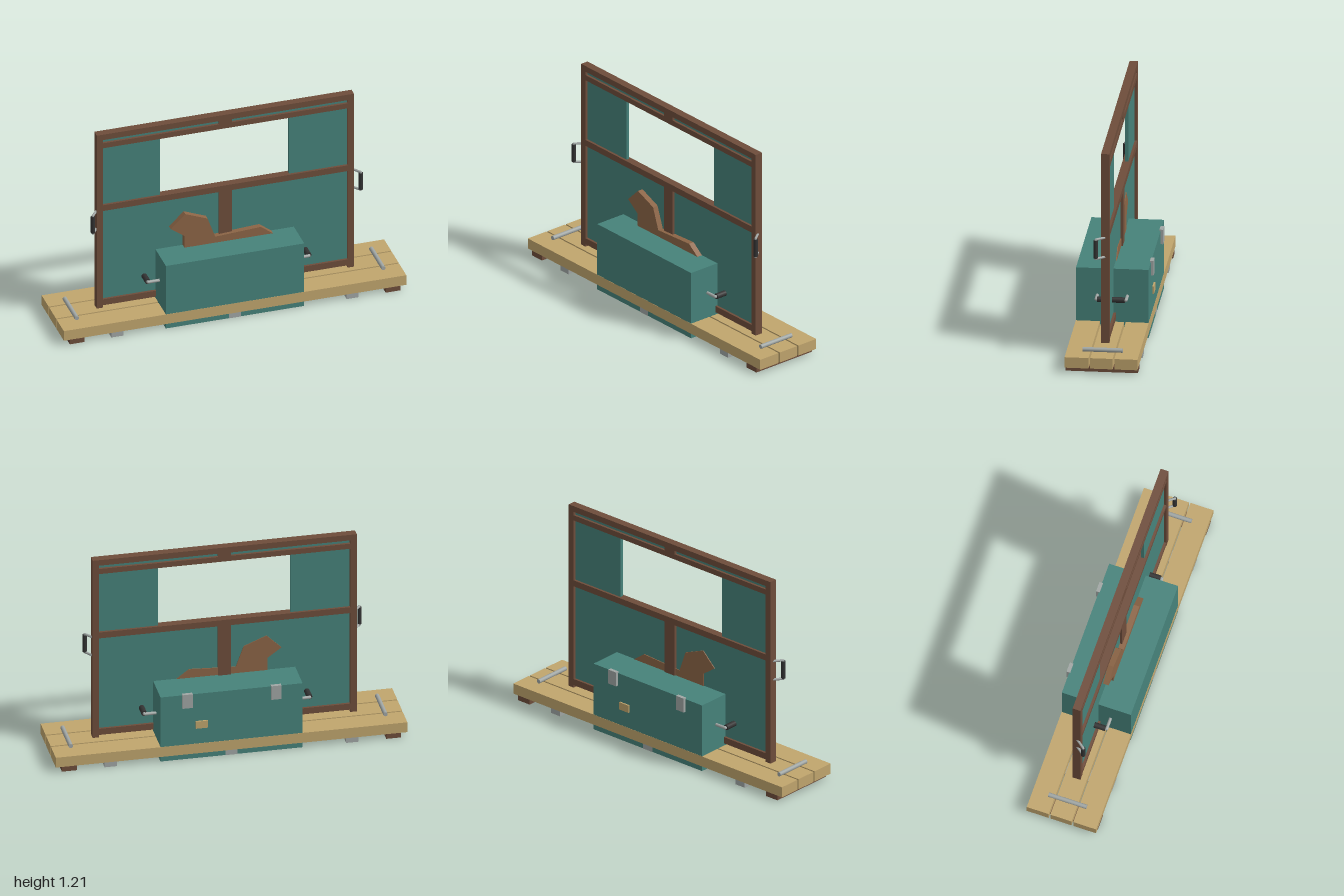
import * as THREE from 'three';

const mat = (color) => new THREE.MeshStandardMaterial({ color });

export function createModel() {
  const root = new THREE.Group();
  const teal = mat(0x46827a), pine = mat(0xc0a56d), brown = mat(0x6e4d3b);
  const cutout = mat(0x8c6546), steel = mat(0xa0a6a4), rubber = mat(0x333333);

  // Box given by its extents
  const box = (name, m, x0, x1, y0, y1, z0, z1, parent = root) => {
    const mesh = new THREE.Mesh(new THREE.BoxGeometry(x1 - x0, y1 - y0, z1 - z0), m);
    mesh.position.set((x0 + x1) / 2, (y0 + y1) / 2, (z0 + z1) / 2);
    mesh.name = name;
    parent.add(mesh);
    return mesh;
  };
  // Round bar between two points
  const rod = (name, m, a, b, r, parent = root) => {
    const p = new THREE.Vector3(...a), q = new THREE.Vector3(...b);
    const mesh = new THREE.Mesh(new THREE.CylinderGeometry(r, r, p.distanceTo(q), 16), m);
    mesh.position.copy(p).add(q).multiplyScalar(0.5);
    mesh.quaternion.setFromUnitVectors(new THREE.Vector3(0, 1, 0), q.sub(p).normalize());
    mesh.name = name;
    parent.add(mesh);
    return mesh;
  };
  // U-shaped handle: two arms and a thicker grip
  const handle = (name, rootA, gripA, gripB, rootB, r, gripR) => {
    const g = new THREE.Group();
    g.name = name;
    rod('handleArm', steel, rootA, gripA, r, g);
    rod('handleArm', steel, rootB, gripB, r, g);
    rod('handleBar', steel, gripA, gripB, r, g);
    const a = new THREE.Vector3(...gripA), b = new THREE.Vector3(...gripB);
    rod('handleGrip', rubber, a.clone().lerp(b, 0.04).toArray(), b.clone().lerp(a, 0.04).toArray(), gripR, g);
    for (const end of [gripA, gripB]) {
      const corner = new THREE.Mesh(new THREE.SphereGeometry(r, 12, 8), steel);
      corner.position.set(...end);
      corner.name = 'handleCorner';
      g.add(corner);
    }
    root.add(g);
  };

  // Deck of three planks
  for (const [z0, z1] of [[-0.197, -0.068], [-0.058, 0.067], [0.077, 0.211]])
    box('deckPlank', pine, -1, 1, 0.03, 0.092, z0, z1);

  // Chest set through the deck
  box('chest', teal, -0.404, 0.404, 0.001, 0.406, -0.196, 0.21);

  // Steel brace under the chest
  box('chestBrace', steel, -0.035, 0.035, 0, 0.03, -0.1965, 0.2105);
  for (const z of [-0.16, 0.175])
    box('chestBraceFlange', steel, -0.22, 0.22, 0, 0.02, z - 0.02, z + 0.02);

  // Frame rails
  const F0 = -0.013, F1 = 0.033;
  for (const [y0, y1] of [[0.107, 0.145], [0.718, 0.755], [1.125, 1.157], [1.178, 1.213]])
    box('frameRail', brown, -0.72, 0.72, y0, y1, F0, F1);
  box('centrePost', brown, -0.037, 0.037, 0.14, 0.72, F0, F1);
  box('topSpacer', brown, -0.037, 0.037, 1.15, 1.185, F0, F1);

  // Panels recessed in the frame
  const P0 = 0.001, P1 = 0.019;
  box('lowerPanel', teal, -0.72, 0.72, 0.14, 0.725, P0, P1);
  box('topStrip', teal, -0.72, 0.72, 1.15, 1.185, P0, P1);

  for (const s of [-1, 1]) {
    const span = (a, b) => (s > 0 ? [a, b] : [-b, -a]);
    box('framePost', brown, ...span(0.714, 0.751), 0, 1.213, F0, F1);
    box('windowSidePanel', teal, ...span(0.377, 0.72), 0.75, 1.13, P0, P1);

    // Crossbars under the deck
    box('endFoot', brown, ...span(0.88, 0.965), 0, 0.03, -0.196, 0.21);
    box('steelCrossbar', steel, ...span(0.652, 0.722), 0, 0.03, -0.196, 0.21);

    // Grab rail lying on the deck
    rod('deckRail', steel, [s * 0.895, 0.105, -0.104], [s * 0.895, 0.105, 0.12], 0.0125);

    // Angled handle on the frame post
    handle('frameHandle', [s * 0.745, 0.715, 0.012], [s * 0.782, 0.715, 0.06],
      [s * 0.782, 0.601, 0.06], [s * 0.745, 0.601, 0.012], 0.007, 0.0125);

    // Carrying handle on the end of the chest
    handle('chestHandle', [s * 0.4, 0.246, -0.077], [s * 0.47, 0.246, -0.077],
      [s * 0.47, 0.246, 0.091], [s * 0.4, 0.246, 0.091], 0.009, 0.016);

    // Latch at the back of the chest
    box('latch', steel, s * 0.252 - 0.029, s * 0.252 + 0.029, 0.328, 0.414, -0.211, -0.19);
  }

  // Small wooden plate at the back of the chest
  box('backPlate', pine, 0.135, 0.205, 0.19, 0.235, -0.205, -0.19);

  // Flat wooden silhouette standing through the panel
  const outline = new THREE.Shape([
    [-0.325, 0.54], [-0.245, 0.482], [-0.245, 0.4], [0.28, 0.4], [0.2, 0.46],
    [-0.065, 0.445], [-0.11, 0.57], [-0.24, 0.623],
  ].map(([x, y]) => new THREE.Vector2(x, y)));
  const silhouette = new THREE.Mesh(
    new THREE.ExtrudeGeometry(outline, { depth: 0.056, bevelEnabled: false }), cutout);
  silhouette.position.z = -0.004;
  silhouette.name = 'woodenSilhouette';
  root.add(silhouette);

  // Centre the depth on z = 0
  const bounds = new THREE.Box3().setFromObject(root);
  for (const part of root.children) part.position.z -= (bounds.min.z + bounds.max.z) / 2;
  return root;
}
